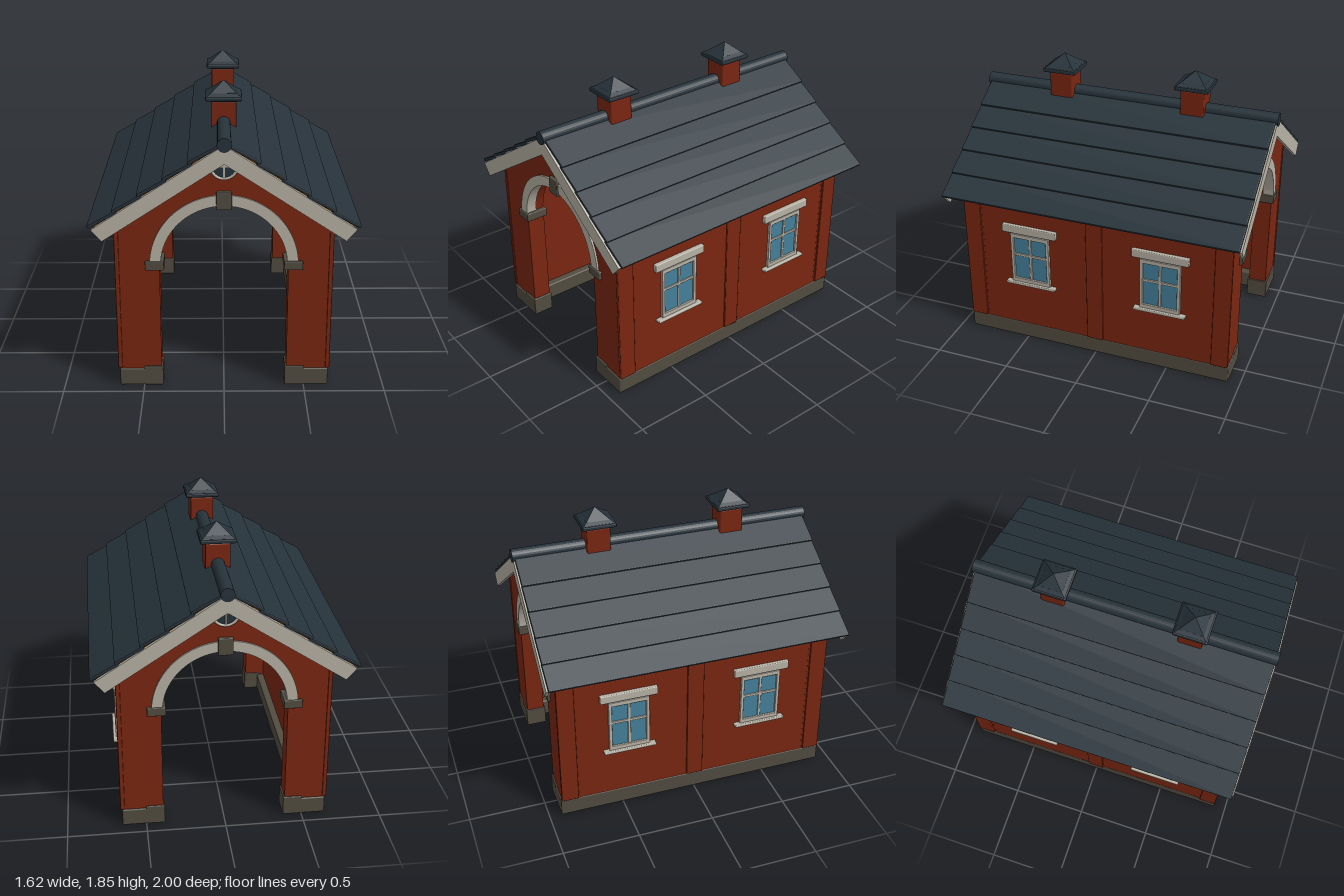
import * as THREE from 'three';
import { RoundedBoxGeometry } from 'three/addons/geometries/RoundedBoxGeometry.js';

const mat = (name, color, extra = {}) => {
  const m = new THREE.MeshStandardMaterial({ color, ...extra });
  m.name = name;
  return m;
};

export function createModel() {
  const red = mat('red wall', 0x7a2611);
  const cream = mat('cream trim', 0xb8b2a5);
  const stone = mat('grey stone', 0x524c40);
  const slate = mat('dark roof', 0x26323a, { flatShading: true });
  const wood = mat('brown wood', 0x52300f);
  const glass = mat('blue glass', 0x44809b);

  const root = new THREE.Group();
  root.name = 'gatehouse';

  const add = (parent, name, geo, material, x = 0, y = 0, z = 0) => {
    const m = new THREE.Mesh(geo, material);
    m.name = name;
    m.position.set(x, y, z);
    parent.add(m);
    return m;
  };
  // box given by its limits, with a small bevel
  const box = (parent, name, material, [x0, x1], [y0, y1], [z0, z1], r = 0.006) => {
    const w = x1 - x0, h = y1 - y0, d = z1 - z0;
    const geo = new RoundedBoxGeometry(w, h, d, 1, Math.min(r, w / 3, h / 3, d / 3));
    return add(parent, name, geo, material, (x0 + x1) / 2, (y0 + y1) / 2, (z0 + z1) / 2);
  };
  const extrude = (shape, depth) =>
    new THREE.ExtrudeGeometry(shape, { depth, bevelEnabled: false, curveSegments: 32 });

  const SLOPE = 0.66, APEX = 1.6;
  const angle = Math.atan(SLOPE);
  // inverted V under the roof line
  const chevron = (xTop, xLow, drop) => {
    const topY = APEX - SLOPE * xTop, lowY = APEX - drop - SLOPE * xLow;
    return new THREE.Shape([
      [0, APEX], [-xTop, topY], [-xLow, lowY], [0, APEX - drop], [xLow, lowY], [xTop, topY],
    ].map(p => new THREE.Vector2(...p)));
  };

  // gable wall with an arched opening
  const gable = new THREE.Shape();
  gable.moveTo(0.39, 0.08);
  gable.lineTo(0.65, 0.08);
  gable.lineTo(0.65, 1.12);
  gable.lineTo(0, 1.55);
  gable.lineTo(-0.65, 1.12);
  gable.lineTo(-0.65, 0.08);
  gable.lineTo(-0.39, 0.08);
  gable.lineTo(-0.39, 0.82);
  gable.absarc(0, 0.82, 0.39, Math.PI, 0, true);
  gable.lineTo(0.39, 0.08);

  const archBand = new THREE.Shape();
  archBand.absarc(0, 0.82, 0.45, 0, Math.PI, false);
  archBand.absarc(0, 0.82, 0.383, Math.PI, 0, true);

  // the two gable ends
  for (const turn of [0, Math.PI]) {
    const end = new THREE.Group();
    end.name = turn ? 'backEnd' : 'frontEnd';
    end.rotation.y = turn;
    root.add(end);
    add(end, 'gableWall', extrude(gable, 0.12), red, 0, 0, 0.79);
    add(end, 'archTrim', extrude(archBand, 0.07), cream, 0, 0, 0.852);
    box(end, 'keystone', stone, [-0.046, 0.046], [1.18, 1.293], [0.78, 0.932]);
    add(end, 'bargeBoards', extrude(chevron(0.787, 0.725, 0.115), 0.02), cream, 0, 0, 0.974);
    for (const s of [-1, 1]) {
      box(end, 'impost', stone, [s * 0.42 - 0.058, s * 0.42 + 0.058], [0.79, 0.848], [0.78, 0.93]);
      box(end, 'pierPlinth', stone, [s * 0.44 - 0.06, s * 0.44 + 0.06], [0, 0.13], [0.78, 0.92]);
    }
    // round attic window
    const pane = add(end, 'roundPane', new THREE.CylinderGeometry(0.078, 0.078, 0.008, 32), slate, 0, 1.45, 0.914);
    pane.rotation.x = Math.PI / 2;
    add(end, 'roundFrame', new THREE.TorusGeometry(0.078, 0.009, 8, 32), cream, 0, 1.45, 0.917);
    box(end, 'roundBar', cream, [-0.076, 0.076], [1.444, 1.456], [0.912, 0.925], 0.002);
    box(end, 'roundBar', cream, [-0.006, 0.006], [1.374, 1.526], [0.912, 0.925], 0.002);
  }

  // the two long sides with their roof slopes
  for (const turn of [0, Math.PI]) {
    const side = new THREE.Group();
    side.name = turn ? 'rightSide' : 'leftSide';
    side.rotation.y = turn;
    root.add(side);
    box(side, 'sideWall', red, [0.53, 0.649], [0.08, 1.14], [-0.908, 0.908], 0.002);
    box(side, 'sidePlinth', stone, [0.48, 0.652], [0, 0.115], [-0.92, 0.92], 0.008);
    for (const [z, half] of [[-0.858, 0.057], [0, 0.056], [0.858, 0.057]])
      box(side, 'pilaster', red, [0.635, 0.662], [0.116, 1.1], [z - half, z + half]);

    for (const z of [-0.45, 0.45]) {
      const win = new THREE.Group();
      win.name = 'window';
      win.position.z = z;
      side.add(win);
      box(win, 'glass', glass, [0.646, 0.654], [0.46, 0.81], [-0.125, 0.125], 0.001);
      for (const s of [-1, 1])
        box(win, 'frameStile', cream, [0.645, 0.667], [0.45, 0.82], [s * 0.125 - 0.011, s * 0.125 + 0.011], 0.004);
      for (const y of [0.468, 0.805])
        box(win, 'frameRail', cream, [0.645, 0.667], [y - 0.015, y + 0.015], [-0.136, 0.136], 0.004);
      box(win, 'mullion', cream, [0.645, 0.662], [0.47, 0.81], [-0.009, 0.009], 0.003);
      box(win, 'crossbar', cream, [0.645, 0.662], [0.654, 0.672], [-0.125, 0.125], 0.003);
      box(win, 'lintel', cream, [0.64, 0.675], [0.828, 0.885], [-0.19, 0.19]);
      box(win, 'sill', cream, [0.64, 0.685], [0.436, 0.456], [-0.175, 0.175]);
    }

    // overlapping roof planks
    const slope = new THREE.Group();
    slope.name = 'roofSlope';
    slope.position.y = APEX;
    slope.rotation.z = -angle;
    side.add(slope);
    for (let i = 0; i < 5; i++) {
      const low = 0.24 + 0.179 * i, width = i ? 0.197 : 0.235;
      const geo = new RoundedBoxGeometry(width, 0.02, 1.97, 1, 0.005);
      add(slope, 'roofPlank', geo, slate, low - width / 2, 0.014, 0).rotation.z = 0.07;
    }
  }

  // wooden roof deck and ridge roll
  add(root, 'roofDeck', extrude(chevron(0.768, 0.742, 0.055), 1.948), wood, 0, 0, -0.974);
  const ridge = add(root, 'ridgeRoll',
    new THREE.CylinderGeometry(0.043, 0.043, 2, 24), slate, 0, 1.6, 0);
  ridge.rotation.x = Math.PI / 2;

  // square tapering section centred on the chimney
  const frustum = (parent, name, top, bottom, y0, y1) => {
    const geo = new THREE.CylinderGeometry(top * Math.SQRT2, bottom * Math.SQRT2, y1 - y0, 4);
    geo.rotateY(Math.PI / 4);
    return add(parent, name, geo, slate, 0, (y0 + y1) / 2, 0);
  };
  for (const z of [-0.45, 0.45]) {
    const chimney = new THREE.Group();
    chimney.name = 'chimney';
    chimney.position.z = z;
    root.add(chimney);
    box(chimney, 'chimneyStack', red, [-0.078, 0.078], [1.53, 1.735], [-0.078, 0.078], 0.008);
    frustum(chimney, 'capNeck', 0.09, 0.07, 1.73, 1.75);
    box(chimney, 'capSlab', slate, [-0.112, 0.112], [1.744, 1.772], [-0.112, 0.112], 0.008);
    frustum(chimney, 'capSkirt', 0.078, 0.105, 1.77, 1.788);
    frustum(chimney, 'capPyramid', 0.001, 0.08, 1.786, 1.853);
  }
  return root;
}
